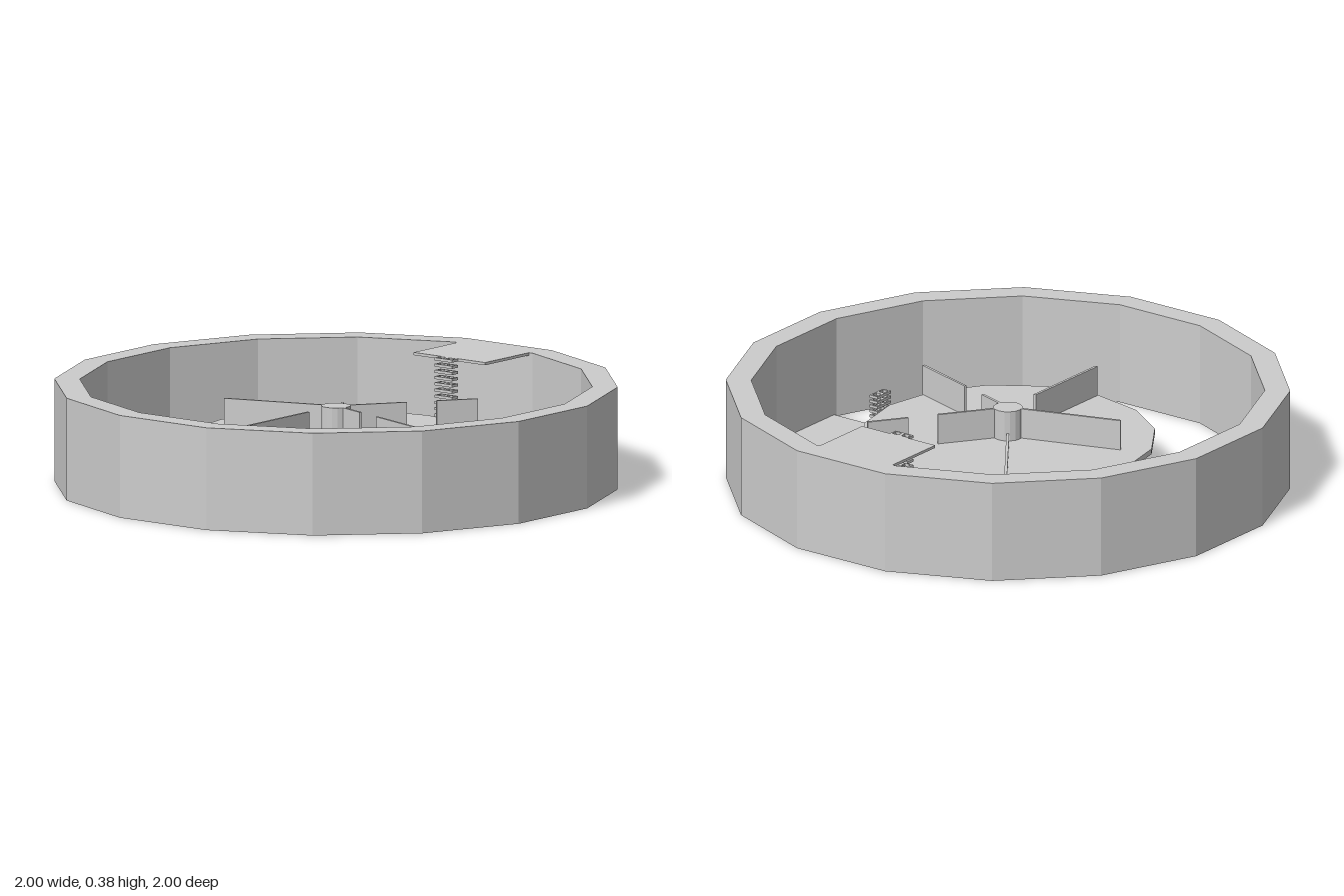
import * as THREE from 'three';

const SIDES = 16;

export function createModel() {
  const model = new THREE.Group();
  model.name = 'ringArena';
  const grey = new THREE.MeshStandardMaterial({ color: 0xcccccc });
  grey.name = 'light grey';

  const add = (parent, name, geometry, x = 0, y = 0, z = 0) => {
    const mesh = new THREE.Mesh(geometry, grey);
    mesh.name = name;
    mesh.position.set(x, y, z);
    parent.add(mesh);
    return mesh;
  };

  // Corner points of a regular polygon, with its first corner at the given angle
  const polygon = (radius, start = 0) => Array.from({ length: SIDES }, (_, i) => {
    const a = start + (i * 2 * Math.PI) / SIDES;
    return new THREE.Vector2(radius * Math.cos(a), radius * Math.sin(a));
  });

  // Upright faceted prism, optionally with a hole
  const prism = (outer, height, inner) => {
    const shape = new THREE.Shape(outer);
    if (inner) shape.holes.push(new THREE.Path(inner));
    const geometry = new THREE.ExtrudeGeometry(shape, { depth: height, bevelEnabled: false });
    return geometry.rotateX(-Math.PI / 2);
  };

  // Outer ring wall, flats facing the axes
  const half = Math.PI / SIDES;
  const inset = 0.91;
  add(model, 'outerWall', prism(
    polygon(1 / Math.cos(half), half), 0.375, polygon(inset / Math.cos(half), half)));

  // Raised central disc and its hub
  const discTop = 0.18;
  const wallHeight = 0.112;
  add(model, 'centralDisc', prism(polygon(0.535), 0.02), 0, discTop - 0.02, 0);
  add(model, 'hub', prism(polygon(0.053), wallHeight), 0, discTop, 0);

  // Radial partitions: angle in degrees from +x towards +z, inner and outer radius, height
  const partitions = [
    [180, 0.16, 0.53, wallHeight],
    [-108, 0.05, 0.43, wallHeight],
    [-36, 0.05, 0.53, 0.028],
    [36, 0.05, 0.265, wallHeight],
    [36, 0.376, 0.53, wallHeight],
    [108, 0.05, 0.16, wallHeight],
    [108, 0.268, 0.53, wallHeight],
  ];
  for (const [degrees, from, to, height] of partitions) {
    const a = THREE.MathUtils.degToRad(degrees);
    const mid = (from + to) / 2;
    const wall = add(model, 'partition', new THREE.BoxGeometry(to - from, height, 0.01),
      mid * Math.cos(a), discTop + height / 2, mid * Math.sin(a));
    wall.rotation.y = -a;
  }

  // Platform with a twin stack of square frames beside it, built facing +z
  const frame = (() => {
    const square = (w, d) => [[-w, -d], [w, -d], [w, d], [-w, d]]
      .map(([x, y]) => new THREE.Vector2(x, y));
    return prism(square(0.02, 0.0175), 0.01, square(0.013, 0.0115));
  })();
  const station = (name, y, stackX, stackBottom, stackTop) => {
    const group = new THREE.Group();
    group.name = name;
    add(group, 'platform', new THREE.BoxGeometry(0.33, 0.01, inset - 0.655),
      0, y, (inset + 0.655) / 2);
    const levels = 10;
    for (let i = 0; i < levels; i++) {
      const level = stackBottom + ((stackTop - 0.01 - stackBottom) * i) / (levels - 1);
      for (const side of [-1, 1]) add(group, 'stairFrame', frame, stackX + side * 0.02, level, 0.6375);
    }
    model.add(group);
    return group;
  };
  station('lowerStation', 0.005, -0.08, 0, 0.18);
  station('upperStation', 0.37, 0, 0.16, 0.375).rotation.y = Math.PI / 2;

  return model;
}
